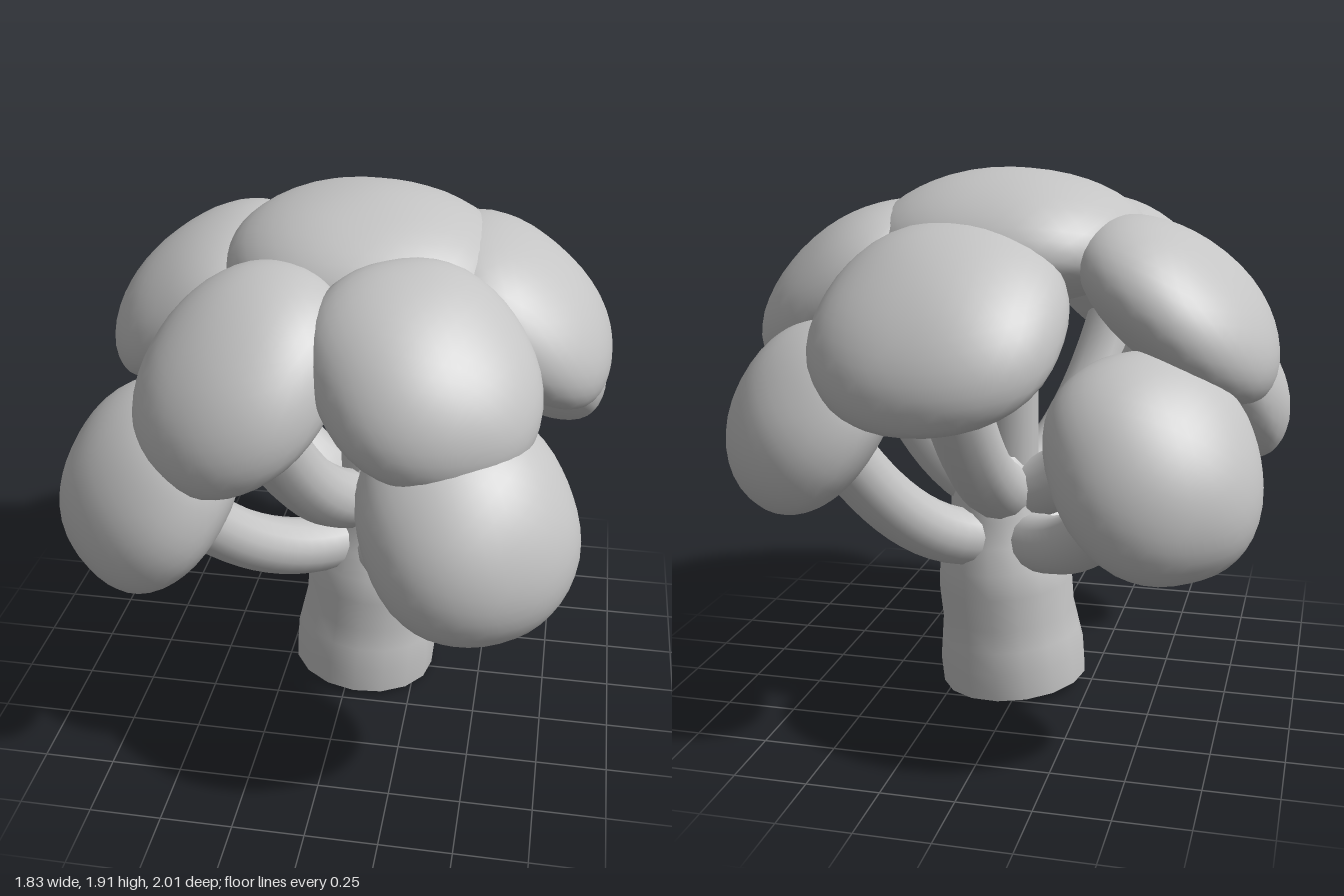
import * as THREE from 'three';
import { mergeVertices } from 'three/addons/utils/BufferGeometryUtils.js';

const grey = new THREE.MeshStandardMaterial({ color: 0xc4c4c4 });
grey.name = 'light grey';

const V = (a) => new THREE.Vector3(...a);

// Each floret: centre, outward normal, half sizes (width, height, thickness)
const florets = [
  { name: 'crown', level: 'top', at: [0.04, 1.64, -0.08], normal: [0.02, 1, 0.001], size: [0.5, 0.49, 0.275] },

  { name: 'upperFrontRight', level: 'upper', at: [-0.275, 1.45, 0.52], normal: [-0.33, 0.74, 0.58], size: [0.35, 0.42, 0.255] },
  { name: 'upperFrontLeft', level: 'upper', at: [0.305, 1.5, 0.5], normal: [0.33, 0.8, 0.5], size: [0.38, 0.41, 0.25] },
  { name: 'upperLeft', level: 'upper', at: [0.56, 1.485, -0.12], normal: [0.64, 0.77, 0], size: [0.445, 0.41, 0.25] },
  { name: 'upperRight', level: 'upper', at: [-0.56, 1.455, -0.2], normal: [-0.63, 0.78, 0.02], size: [0.45, 0.41, 0.25] },
  { name: 'upperBack', level: 'upper', at: [0.14, 1.44, -0.63], normal: [0.05, 0.8, -0.6], size: [0.42, 0.43, 0.25] },

  { name: 'lowerFrontLeft', level: 'lower', at: [0.475, 1.07, 0.665], normal: [0.45, 0.6, 0.65], size: [0.37, 0.39, 0.28] },
  { name: 'lowerFrontRight', level: 'lower', at: [-0.585, 1.055, 0.55], normal: [-0.6, 0.57, 0.56], size: [0.37, 0.37, 0.27] },
  { name: 'lowerBackRight', level: 'lower', at: [-0.555, 1.03, -0.64], normal: [-0.5, 0.57, -0.65], size: [0.36, 0.385, 0.265] },
  { name: 'lowerBackLeft', level: 'lower', at: [0.575, 1.13, -0.6], normal: [0.6, 0.6, -0.55], size: [0.36, 0.36, 0.26] },
];

function addMesh(parent, name, geometry) {
  const mesh = new THREE.Mesh(geometry, grey);
  mesh.name = name;
  parent.add(mesh);
  return mesh;
}

// Lens-like cushion: boxy outline, domed outside, shallower underside, soft lumps
function cushion([w, h, t], seed) {
  let g = new THREE.IcosahedronGeometry(1, 7);
  g.deleteAttribute('uv');
  g.deleteAttribute('normal');
  g = mergeVertices(g, 1e-4);
  const p = g.attributes.position;
  const outline = 2.25, dome = 1.95;
  for (let i = 0; i < p.count; i++) {
    const v = new THREE.Vector3().fromBufferAttribute(p, i);
    const rim = (Math.abs(v.x) ** outline + Math.abs(v.y) ** outline) ** (1 / outline);
    const radius = (rim ** dome + Math.abs(v.z) ** dome) ** (1 / dome);
    const lump = 0.988 + 0.012 * Math.sin(4 * v.x + seed) * Math.cos(4 * v.y + 2 * seed);
    v.multiplyScalar(lump / radius);
    p.setXYZ(i, v.x * w, v.y * h, v.z * t * (v.z < 0 ? 0.72 : 1));
  }
  g.computeVertexNormals();
  return g;
}

function addFloret(parent, f, seed) {
  const n = V(f.normal).normalize();
  // The crown faces straight up, so its width runs along x
  const side = f.level === 'top'
    ? new THREE.Vector3(n.y, -n.x, 0).normalize()
    : new THREE.Vector3(0, 1, 0).cross(n).normalize();
  const up = n.clone().cross(side);
  const mesh = addMesh(parent, f.name + 'Floret', cushion(f.size, seed));
  mesh.quaternion.setFromRotationMatrix(new THREE.Matrix4().makeBasis(side, up, n));
  mesh.position.set(...f.at);
}

// Curved stalk from the trunk into the floret, with a rounded root
function addBranch(parent, f) {
  const { rootY, bendY, reach, radius, offset } = {
    top: { rootY: 0.75, bendY: 1.1, reach: 0.5, radius: 0.1, offset: 0 },
    upper: { rootY: 0.76, bendY: 0.87, reach: 0.65, radius: 0.113, offset: 0.08 },
    lower: { rootY: 0.585, bendY: 0.575, reach: 0.58, radius: 0.105, offset: 0.085 },
  }[f.level];
  const axis = new THREE.Vector3(0.05, 0, -0.04);
  const end = V(f.at);
  const out = end.clone().sub(axis).setY(0);
  const root = axis.clone().addScaledVector(out.clone().normalize(), offset).setY(rootY);
  const bend = axis.clone().addScaledVector(out, reach).setY(bendY);
  const path = new THREE.QuadraticBezierCurve3(root, bend, end);
  addMesh(parent, f.name + 'Branch', new THREE.TubeGeometry(path, 16, radius, 14));
  addMesh(parent, f.name + 'BranchRoot', new THREE.SphereGeometry(radius, 14, 10)).position.copy(root);
}

function addTrunk(parent) {
  const trunk = new THREE.Group();
  trunk.name = 'trunk';
  const profile = [
    [0.27, 0], [0.272, 0.1], [0.26, 0.18], [0.248, 0.26], [0.25, 0.38], [0.24, 0.47],
    [0.207, 0.56], [0.18, 0.65], [0.17, 0.76], [0.13, 0.87], [0, 0.92],
  ].map(([r, y]) => new THREE.Vector2(r, y));
  addMesh(trunk, 'trunkSide', new THREE.LatheGeometry(profile, 16));
  addMesh(trunk, 'trunkCutEnd', new THREE.CircleGeometry(0.27, 16).rotateX(Math.PI / 2));
  // Leans a little to one side
  trunk.rotation.set(-0.03, 0, -0.08);
  trunk.position.set(0.042, 0.022, -0.03);
  parent.add(trunk);
}

export function createModel() {
  const model = new THREE.Group();
  model.name = 'broccoli';
  addTrunk(model);
  florets.forEach((f, i) => {
    addFloret(model, f, i * 1.7);
    addBranch(model, f);
  });
  return model;
}
